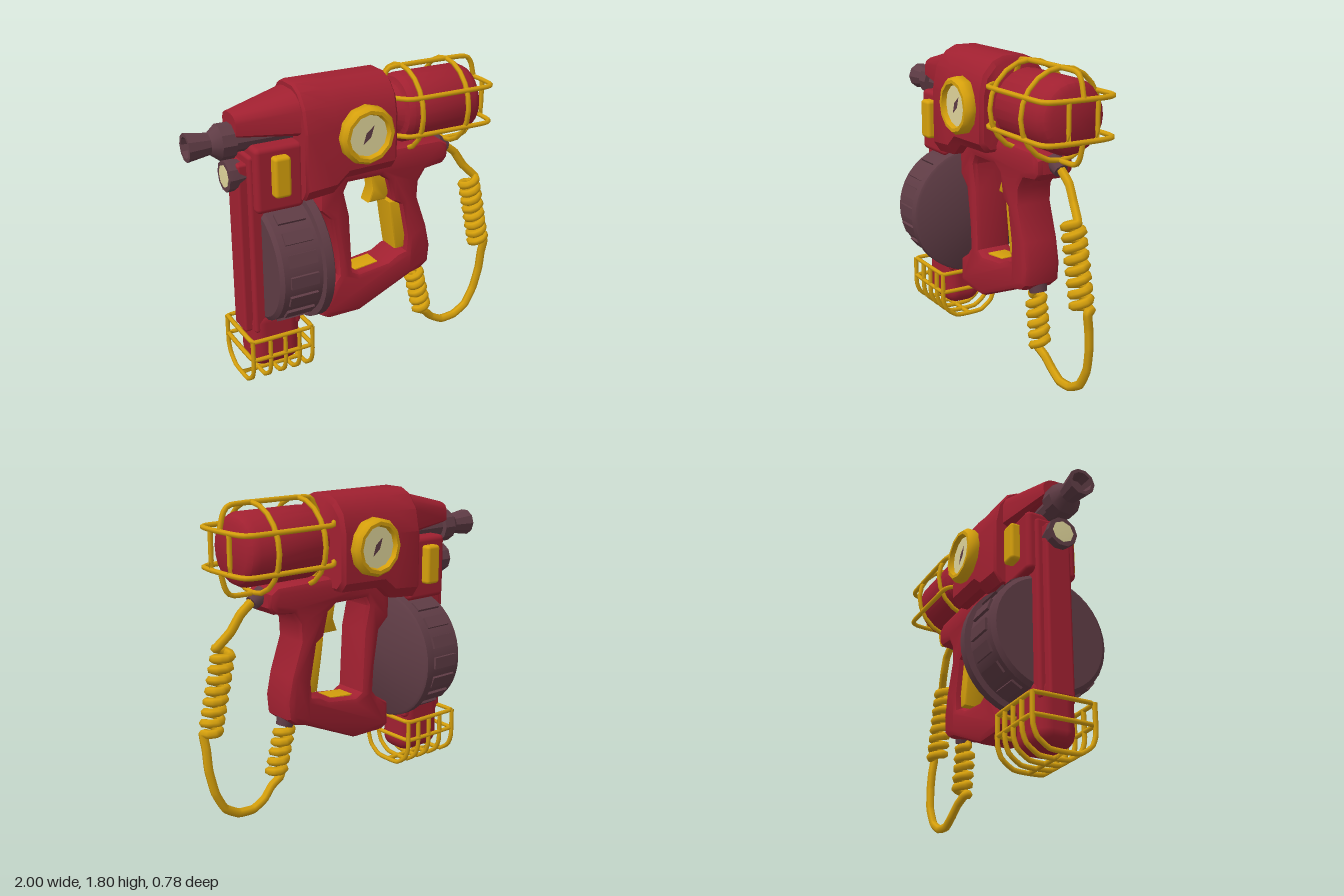
import * as THREE from 'three';
import { toCreasedNormals } from 'three/addons/utils/BufferGeometryUtils.js';
import { RoundedBoxGeometry } from 'three/addons/geometries/RoundedBoxGeometry.js';

const mat = (name, color, side = THREE.FrontSide) => {
  const m = new THREE.MeshStandardMaterial({ color, side });
  m.name = name;
  return m;
};
const red = mat('red paint', 0xa02030);
const yellow = mat('yellow paint', 0xd6a00c);
const dark = mat('dark metal', 0x5f3c45);
const cream = mat('cream dial', 0xdfd49a);

export function createModel() {
  const model = new THREE.Group();
  model.name = 'nailGun';

  const add = (name, geo, material, pos = [0, 0, 0], parent = model) => {
    const mesh = new THREE.Mesh(geo, material);
    mesh.name = name;
    mesh.position.set(...pos);
    parent.add(mesh);
    return mesh;
  };
  const crease = (geo, angle = 0.6) => toCreasedNormals(geo, angle);
  const rbox = (name, x0, x1, y0, y1, hz, r, material) =>
    add(name, new RoundedBoxGeometry(x1 - x0, y1 - y0, hz * 2, 2, r), material, [(x0 + x1) / 2, (y0 + y1) / 2, 0]);
  // Turned part along x: points are [x, radius], left to right
  const turned = (name, pts, sides, material, y) => {
    const geo = new THREE.LatheGeometry(pts.map(([x, r]) => new THREE.Vector2(r, x)), sides);
    geo.rotateZ(-Math.PI / 2);
    return add(name, crease(geo), material, [0, y, 0]);
  };
  const tube = (name, pts, r, seg, closed = false, material = yellow, parent = model) => {
    const curve = new THREE.CatmullRomCurve3(pts.map((p) => new THREE.Vector3(...p)), closed, 'catmullrom', 0.25);
    return add(name, new THREE.TubeGeometry(curve, seg, r, 6, closed), material, [0, 0, 0], parent);
  };
  // Side outline extruded evenly about z = 0, with a bevel cut inward
  const slab = (name, outline, hz, bevel, material, hole) => {
    const vec = (p) => new THREE.Vector2(...p);
    const shape = new THREE.Shape(outline.map(vec));
    if (hole) shape.holes.push(new THREE.Path(hole.map(vec)));
    const geo = new THREE.ExtrudeGeometry(shape, {
      depth: 2 * (hz - bevel), bevelSize: bevel, bevelThickness: bevel, bevelOffset: -bevel, bevelSegments: 2,
    });
    geo.translate(0, 0, -(hz - bevel));
    return add(name, crease(geo, 0.7), material);
  };
  // Housing lofted along x with a flat base and domed top: [x, bottom, top, half width]
  const profile = [[0.8, 0], [1, 0.1], [1, 0.62], [0.88, 0.82], [0.6, 0.95], [0.3, 1]];
  const section = [...profile, ...profile.map(([z, y]) => [-z, y]).reverse()];
  const housing = (name, stations) => {
    const n = section.length, pos = [], idx = [];
    for (const [x, b, t, w] of stations) for (const [z, y] of section) pos.push(x, b + (t - b) * y, z * w);
    for (let s = 0; s < stations.length - 1; s++) {
      for (let i = 0; i < n; i++) {
        const a = s * n + i, c = s * n + (i + 1) % n;
        idx.push(a, c, a + n, c, c + n, a + n);
      }
    }
    const last = (stations.length - 1) * n;
    for (let i = 1; i < n - 1; i++) idx.push(0, i + 1, i, last, last + i, last + i + 1);
    // Keep faces turned outward
    for (let i = 0; i < idx.length; i += 3) [idx[i + 1], idx[i + 2]] = [idx[i + 2], idx[i + 1]];
    const geo = new THREE.BufferGeometry();
    geo.setAttribute('position', new THREE.Float32BufferAttribute(pos, 3));
    geo.setIndex(idx);
    // Check the sense of the first side quad and flip all if needed
    const v = (i) => new THREE.Vector3().fromArray(pos, i * 3);
    const normal = v(idx[1]).sub(v(idx[0])).cross(v(idx[2]).sub(v(idx[0])));
    const centre = new THREE.Vector3(stations[0][0], (stations[0][1] + stations[0][2]) / 2, 0);
    if (normal.dot(v(idx[0]).sub(centre)) < 0) {
      for (let i = 0; i < idx.length; i += 3) [idx[i + 1], idx[i + 2]] = [idx[i + 2], idx[i + 1]];
      geo.setIndex(idx);
    }
    return add(name, crease(geo), red);
  };

  // Main housing and nose shroud
  housing('mainHousing', [[-0.4, 1.165, 1.79, 0.21], [-0.385, 1.16, 1.8, 0.22], [-0.21, 1.175, 1.8, 0.22],
    [-0.13, 1.25, 1.8, 0.22], [0.165, 1.26, 1.8, 0.22], [0.185, 1.28, 1.77, 0.2]]);
  housing('noseShroud', [[-0.745, 1.56, 1.68, 0.09], [-0.39, 1.53, 1.77, 0.17]]);

  // Barrel, flared nozzle and the small lamp below
  turned('nozzle', [[-0.93, 0], [-0.93, 0.05], [-1, 0.06], [-1, 0.08], [-0.87, 0.06], [-0.82, 0.1],
    [-0.74, 0.1], [-0.74, 0.07], [-0.39, 0.07]], 10, dark, 1.525);
  turned('lampHousing', [[-0.79, 0], [-0.79, 0.09], [-0.76, 0.09], [-0.68, 0.075], [-0.66, 0.075]], 10, dark, 1.325);
  turned('lampLens', [[-0.795, 0], [-0.793, 0.065], [-0.788, 0.065]], 8, cream, 1.325);

  // Magazine column and its side clips
  rbox('columnHead', -0.67, -0.38, 1.12, 1.5, 0.155, 0.03, red);
  rbox('column', -0.69, -0.4, 0.36, 1.45, 0.11, 0.02, red);
  rbox('columnFront', -0.74, -0.66, 0.37, 1.4, 0.075, 0.015, red);
  for (const s of [1, -1]) {
    add('sideClip', new RoundedBoxGeometry(0.1, 0.235, 0.07, 2, 0.02), yellow, [-0.53, 1.335, s * 0.175]);
  }

  // Drum magazine with grip ribs
  turned('drum', [[-0.63, 0], [-0.63, 0.33], [-0.61, 0.355], [-0.375, 0.355], [-0.37, 0.39],
    [-0.32, 0.39], [-0.31, 0.375], [-0.31, 0]], 40, dark, 0.775);
  for (let i = 0; i < 18; i++) {
    const a = (i + 0.5) * Math.PI / 9;
    const rib = add('drumRib', new THREE.BoxGeometry(0.17, 0.03, 0.07), dark,
      [-0.49, 0.775 + Math.cos(a) * 0.353, Math.sin(a) * 0.353]);
    rib.rotation.x = a;
  }

  // Lower bulb and its guard
  rbox('lowerBulb', -0.705, -0.395, 0.12, 0.5, 0.12, 0.08, red);
  const guard = new THREE.Group();
  guard.name = 'lowerGuard';
  model.add(guard);
  for (const x of [-0.745, -0.635, -0.54, -0.45, -0.365]) {
    tube('guardHoop', [[x, 0.365, 0.185], [x, 0.19, 0.185], [x, 0.12, 0.16], [x, 0.07, 0.09], [x, 0.065, 0],
      [x, 0.07, -0.09], [x, 0.12, -0.16], [x, 0.19, -0.185], [x, 0.365, -0.185]], 0.014, 28, false, yellow, guard);
  }
  for (const y of [0.36, 0.24]) {
    tube('guardRing', [[-0.745, y, 0.16], [-0.72, y, 0.185], [-0.39, y, 0.185], [-0.365, y, 0.16],
      [-0.365, y, -0.16], [-0.39, y, -0.185], [-0.72, y, -0.185], [-0.745, y, -0.16]], 0.014, 48, true, yellow, guard);
  }
  tube('guardKeel', [[-0.745, 0.065, 0], [-0.365, 0.065, 0]], 0.014, 4, false, yellow, guard);

  // Looped handle with trigger and grip pads
  slab('handle', [[-0.26, 1.2], [-0.26, 1.04], [-0.185, 0.97], [-0.15, 0.75], [-0.14, 0.6], [-0.18, 0.55],
    [-0.26, 0.5], [-0.26, 0.36], [-0.21, 0.33], [0, 0.33], [0.36, 0.49], [0.44, 0.51], [0.49, 0.55], [0.5, 0.66],
    [0.47, 0.8], [0.4, 1], [0.405, 1.1], [0.45, 1.165], [0.57, 1.18], [0.605, 1.22], [0.605, 1.3], [0.55, 1.335],
    [0, 1.34], [-0.2, 1.3]], 0.118, 0.035, red,
  [[-0.1, 1.13], [-0.075, 1.18], [0.14, 1.18], [0.2, 1.14], [0.235, 1], [0.285, 0.97], [0.328, 0.75], [0.32, 0.66],
    [0.27, 0.65], [0.2, 0.61], [0, 0.585], [-0.045, 0.61], [-0.065, 0.98]]);
  slab('trigger', [[0.1, 1.19], [0.12, 1.08], [0.09, 1], [0.21, 1], [0.24, 1.06], [0.22, 1.19]], 0.05, 0.012, yellow);
  slab('gripPad', [[0.215, 0.99], [0.235, 0.85], [0.265, 0.67], [0.345, 0.67], [0.35, 0.75], [0.31, 0.99]], 0.08, 0.012, yellow);
  slab('basePad', [[-0.02, 0.57], [0.15, 0.58], [0.15, 0.608], [-0.02, 0.592]], 0.06, 0.002, yellow);

  // Pressure dials on both sides
  for (const s of [0, 1]) {
    const dial = new THREE.Group();
    dial.name = 'dial';
    dial.position.set(-0.033, 1.505, 0);
    dial.rotation.y = s * Math.PI;
    model.add(dial);
    const rim = new THREE.LatheGeometry([[0.15, 0.19], [0.168, 0.21], [0.168, 0.26], [0.15, 0.283], [0.13, 0.283],
      [0.118, 0.25]].map((p) => new THREE.Vector2(...p)), 12);
    rim.rotateX(Math.PI / 2);
    add('dialRim', crease(rim, 0.9), yellow, [0, 0, 0], dial);
    add('dialFace', new THREE.CircleGeometry(0.126, 12), cream, [0, 0, 0.255], dial);
    const hand = new THREE.Shape([[-0.035, -0.05], [0.015, -0.01], [0.035, 0.055], [-0.015, 0.015]].map((p) => new THREE.Vector2(...p)));
    add('dialNeedle', new THREE.ShapeGeometry(hand), dark, [0, 0, 0.259], dial);
  }

  // Rear tank
  const ty = 1.545;
  turned('tank', [[0.15, 0.1], [0.21, 0.1], [0.27, 0.15], [0.28, 0.185], [0.31, 0.205], [0.72, 0.205],
    [0.76, 0.185], [0.78, 0.15], [0.78, 0]], 24, red, ty);

  // Tank guard: two hoops, six bars, and a crossed end
  const cage = new THREE.Group();
  cage.name = 'tankGuard';
  model.add(cage);
  for (const x of [0.33, 0.64]) {
    const hoop = add('tankHoop', new THREE.TorusGeometry(0.247, 0.015, 6, 20), yellow, [x, ty, 0], cage);
    hoop.rotation.y = Math.PI / 2;
  }
  for (const s of [1, -1]) {
    const y = ty + s * 0.11;
    tube('sideBar', [[0.19, y, 0.14], [0.24, y, 0.2], [0.3, y, 0.225], [0.77, y, 0.225], [0.83, y, 0.19], [0.845, y, 0.1],
      [0.845, y, -0.1], [0.83, y, -0.19], [0.77, y, -0.225], [0.3, y, -0.225], [0.24, y, -0.2], [0.19, y, -0.14]],
    0.015, 60, false, yellow, cage);
    tube('spineBar', [[0.18, ty + s * 0.13, 0], [0.22, ty + s * 0.2, 0], [0.27, ty + s * 0.245, 0], [0.76, ty + s * 0.245, 0],
      [0.82, ty + s * 0.2, 0], [0.845, y, 0]], 0.015, 30, false, yellow, cage);
    tube('endBar', [[0.845, ty - 0.11, s * 0.09], [0.845, ty + 0.11, s * 0.09]], 0.014, 4, false, yellow, cage);
  }

  // Hose sockets on the handle
  const upper = add('upperSocket', new THREE.CylinderGeometry(0.042, 0.052, 0.09, 10), dark, [0.615, 1.265, 0]);
  upper.rotation.z = -2.1;
  const lower = add('lowerSocket', new THREE.CylinderGeometry(0.065, 0.05, 0.1, 10), dark, [0.435, 0.535, 0]);
  lower.rotation.z = 0.3;

  // Coiled hose: plain runs joined by two helixes
  const coil = ([ax, ay, az], [bx, by, bz], turns, r) => {
    const len = Math.hypot(bx - ax, by - ay), ux = -(by - ay) / len, uy = (bx - ax) / len;
    return Array.from({ length: turns * 8 + 1 }, (_, i) => {
      const t = i / (turns * 8), a = i * Math.PI / 4, c = Math.cos(a) * r;
      return [ax + (bx - ax) * t + ux * c, ay + (by - ay) * t + uy * c, az + (bz - az) * t + Math.sin(a) * r];
    });
  };
  const hosePoints = [
    [0.61, 1.27, 0], [0.66, 1.245, 0], [0.73, 1.19, 0], [0.79, 1.1, 0.01],
    ...coil([0.82, 1.01, 0.035], [0.925, 0.54, 0.035], 8, 0.047),
    [0.965, 0.46, 0.02], [0.96, 0.34, 0.01], [0.93, 0.2, 0], [0.87, 0.09, 0], [0.78, 0.035, 0], [0.68, 0.028, 0],
    [0.6, 0.07, 0], [0.54, 0.13, 0.01],
    ...coil([0.505, 0.18, 0.02], [0.44, 0.47, 0.01], 5, 0.042),
    [0.435, 0.52, 0],
  ];
  tube('hose', hosePoints, 0.026, 640);

  return model;
}
